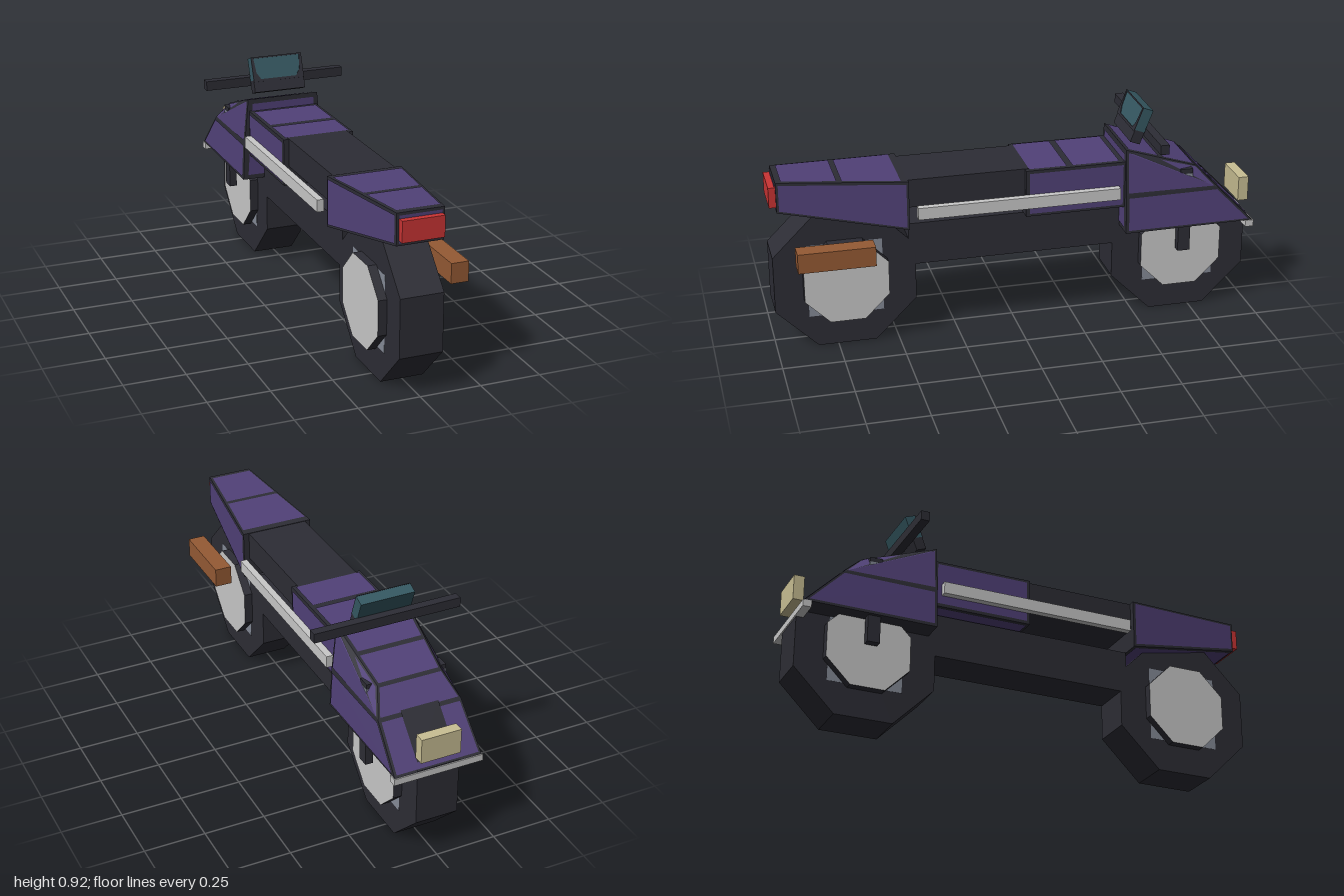
import * as THREE from 'three';
import { ConvexGeometry } from 'three/addons/geometries/ConvexGeometry.js';

const mat = (name, color, side = THREE.FrontSide) => {
  const m = new THREE.MeshStandardMaterial({ color, side });
  m.name = name;
  return m;
};

export function createModel() {
  const dark = mat('charcoal', 0x2d2d35);
  const purple = mat('purple paint', 0x514178, THREE.DoubleSide);
  const silver = mat('silver', 0xc9c9c9);
  const steel = mat('blue grey steel', 0x868c98);
  const teal = mat('teal glass', 0x355862);
  const red = mat('red lens', 0xcb3434);
  const cream = mat('cream lens', 0xc9bf94);
  const brown = mat('brown leather', 0x955a34);

  const model = new THREE.Group();
  model.name = 'motorbike';
  const v = (x, y, z) => new THREE.Vector3(x, y, z);

  function add(name, geometry, material, parent = model) {
    const mesh = new THREE.Mesh(geometry, material);
    mesh.name = name;
    parent.add(mesh);
    return mesh;
  }
  // Box given by its limits on each axis
  function box(name, material, [x0, x1], [y0, y1], [z0, z1], parent = model) {
    const mesh = add(name, new THREE.BoxGeometry(x1 - x0, y1 - y0, z1 - z0), material, parent);
    mesh.position.set((x0 + x1) / 2, (y0 + y1) / 2, (z0 + z1) / 2);
    return mesh;
  }
  // Painted four-cornered plate, inset from its corners and lifted away from the body centre
  function panel(name, corners, centre, inset = 0.012, material = purple, lift = 0.003) {
    const pts = corners.map((p, i) => {
      const next = corners[(i + 1) % 4].clone().sub(p).normalize();
      const prev = corners[(i + 3) % 4].clone().sub(p).normalize();
      return p.clone().addScaledVector(next, inset).addScaledVector(prev, inset);
    });
    const normal = pts[2].clone().sub(pts[0]).cross(pts[3].clone().sub(pts[1])).normalize();
    if (normal.dot(pts[0].clone().sub(centre)) < 0) {
      normal.negate();
      [pts[1], pts[3]] = [pts[3], pts[1]];
    }
    pts.forEach((p) => p.addScaledVector(normal, lift));
    const order = [0, 1, 2, 0, 2, 3].map((i) => pts[i]);
    const geometry = new THREE.BufferGeometry().setFromPoints(order);
    geometry.computeVertexNormals();
    return add(name, geometry, material);
  }
  // Mirrored left and right plate
  function sidePanels(name, corners, centre, inset) {
    for (const s of [1, -1]) panel(name, corners.map((p) => v(p.x * s, p.y, p.z)), centre, inset);
  }
  // Plate spanning left to right between two edges given as [half width, y, z]
  function crossPanel(name, a, b, centre, inset, material, lift) {
    panel(name, [v(-a[0], a[1], a[2]), v(a[0], a[1], a[2]), v(b[0], b[1], b[2]), v(-b[0], b[1], b[2])],
      centre, inset, material, lift);
  }
  const mirrored = (edges) => edges.flatMap(([x, y, z]) => [v(x, y, z), v(-x, y, z)]);

  // Wheels: octagonal tyre, hub with silver faces, square brake plate
  const octagon = (apothem, width) => {
    const g = new THREE.CylinderGeometry(apothem / Math.cos(Math.PI / 8), apothem / Math.cos(Math.PI / 8),
      width, 8, 1, false, Math.PI / 8).toNonIndexed();
    g.computeVertexNormals();
    return g.rotateZ(Math.PI / 2);
  };
  for (const [name, z] of [['rearWheel', 0.711], ['frontWheel', -0.696]]) {
    const wheel = new THREE.Group();
    wheel.name = name;
    wheel.position.set(0, 0.2885, z);
    model.add(wheel);
    add('tyre', octagon(0.2885, 0.176), dark, wheel);
    add('hub', octagon(0.172, 0.248), [dark, silver, silver], wheel);
    box('brakePlate', steel, [-0.0885, 0.0885], [-0.155, 0.16], [-0.153, 0.153], wheel);
  }

  // Frame, seat and side rails
  box('lowerFrame', dark, [-0.088, 0.088], [0.32, 0.5], [-0.45, 0.45]);
  box('seat', dark, [-0.13, 0.13], [0.59, 0.708], [-0.05, 0.48]);
  for (const s of [1, -1]) {
    box('sideRail', silver, [s * 0.17 - 0.014, s * 0.17 + 0.014], [0.555, 0.605], [-0.41, 0.425]);
  }

  // Tank with painted plates
  const tankMid = v(0, 0.6, -0.23);
  box('tank', dark, [-0.152, 0.152], [0.508, 0.706], [-0.44, -0.022]);
  for (const [z0, z1] of [[-0.025, -0.205], [-0.205, -0.425]]) {
    crossPanel('tankTopPanel', [0.152, 0.706, z0], [0.152, 0.706, z1], tankMid, 0.012);
  }
  crossPanel('tankBottomPanel', [0.152, 0.508, -0.022], [0.152, 0.508, -0.44], tankMid);
  sidePanels('tankSidePanel',
    [v(0.152, 0.508, -0.025), v(0.152, 0.706, -0.025), v(0.152, 0.706, -0.44), v(0.152, 0.508, -0.44)], tankMid);

  // Tapered tail
  const tailMid = v(0, 0.63, 0.7);
  const tail = { t0: [0.155, 0.71, 0.455], t1: [0.095, 0.733, 0.972], b0: [0.155, 0.503, 0.455], b1: [0.095, 0.605, 0.972] };
  add('tail', new ConvexGeometry(mirrored(Object.values(tail))), dark);
  const tailBreak = [0.1237, 0.722, 0.725];
  crossPanel('tailTopPanel', [0.155, 0.71, 0.475], tailBreak, tailMid, 0.01);
  crossPanel('tailTopPanel', tailBreak, [0.0965, 0.7325, 0.96], tailMid, 0.01);
  crossPanel('tailBottomPanel', tail.b0, tail.b1, tailMid);
  crossPanel('tailEndPanel', tail.t1, tail.b1, tailMid, 0.01);
  sidePanels('tailSidePanel', [tail.b0, tail.t0, tail.t1, tail.b1].map((p) => v(...p)), tailMid, 0.01);
  box('tailLight', red, [-0.085, 0.085], [0.625, 0.71], [0.965, 1]);

  // Nose fairing
  const noseMid = v(0, 0.54, -0.6);
  const baseRear = [0.183, 0.4, -0.437], baseNose = [0.183, 0.405, -0.985];
  const midRear = [0.175, 0.565, -0.437], midNose = [0.175, 0.565, -0.83];
  const knee = [0.135, 0.655, -0.743], topRear = [0.157, 0.758, -0.437];
  add('fairing', new ConvexGeometry(mirrored([baseRear, baseNose, midRear, midNose, knee, topRear])), dark);
  sidePanels('fairingLowerPanel', [baseNose, midNose, midRear, baseRear].map((p) => v(...p)), noseMid, 0.012);
  sidePanels('fairingUpperPanel', [midNose, knee, topRear, midRear].map((p) => v(...p)), noseMid, 0.01);
  crossPanel('nosePanel', baseNose, midNose, noseMid, 0.01);
  crossPanel('nosePanel', midNose, knee, noseMid, 0.008);
  const topBreak = [0.146, 0.7066, -0.59];
  crossPanel('fairingTopPanel', knee, topBreak, noseMid, 0.009);
  crossPanel('fairingTopPanel', topBreak, topRear, noseMid, 0.012);
  crossPanel('fairingRearPanel', baseRear, topRear, noseMid, 0.02);
  crossPanel('headlightMount', [0.08, 0.575, -0.82], [0.08, 0.43, -0.961], noseMid, 0, dark, 0.007);
  box('headlight', cream, [-0.083, 0.083], [0.452, 0.556], [-1, -0.957]);
  box('bumper', silver, [-0.187, 0.187], [0.377, 0.405], [-0.99, -0.955]);

  // Fork legs with steel upper sleeves showing through the fairing
  for (const s of [1, -1]) {
    box('forkLeg', dark, [s * 0.152 - 0.016, s * 0.152 + 0.016], [0.29, 0.655], [-0.72, -0.668]);
    box('forkSleeve', steel, [s * 0.152 - 0.0175, s * 0.152 + 0.0175], [0.57, 0.635], [-0.721, -0.667]);
  }

  // Handlebar and tilted windscreen
  box('handlebar', dark, [-0.31, 0.31], [0.788, 0.828], [-0.566, -0.53]);
  const screen = new THREE.Group();
  screen.name = 'windscreen';
  screen.position.set(0, 0.838, -0.513);
  screen.rotation.x = -0.37;
  model.add(screen);
  box('screenBase', dark, [-0.114, 0.114], [-0.075, -0.022], [-0.0215, 0.0215], screen);
  box('screenGlass', teal, [-0.114, 0.114], [-0.022, 0.075], [-0.0215, 0.0215], screen);
  const rim = new THREE.Shape([[-0.114, -0.03], [0.114, -0.03], [0.114, 0.076], [-0.114, 0.076]]
    .map((p) => new THREE.Vector2(...p)));
  rim.holes.push(new THREE.Path([[-0.08, -0.02], [-0.098, 0.008], [-0.104, 0.07], [0.104, 0.07], [0.098, 0.008], [0.08, -0.02]]
    .map((p) => new THREE.Vector2(...p))));
  add('screenRim', new THREE.ExtrudeGeometry(rim, { depth: 0.003, bevelEnabled: false }), dark, screen)
    .position.z = 0.0213;

  // Saddle roll on one side only
  box('saddleRoll', brown, [0.156, 0.228], [0.396, 0.478], [0.605, 0.915]);

  return model;
}
